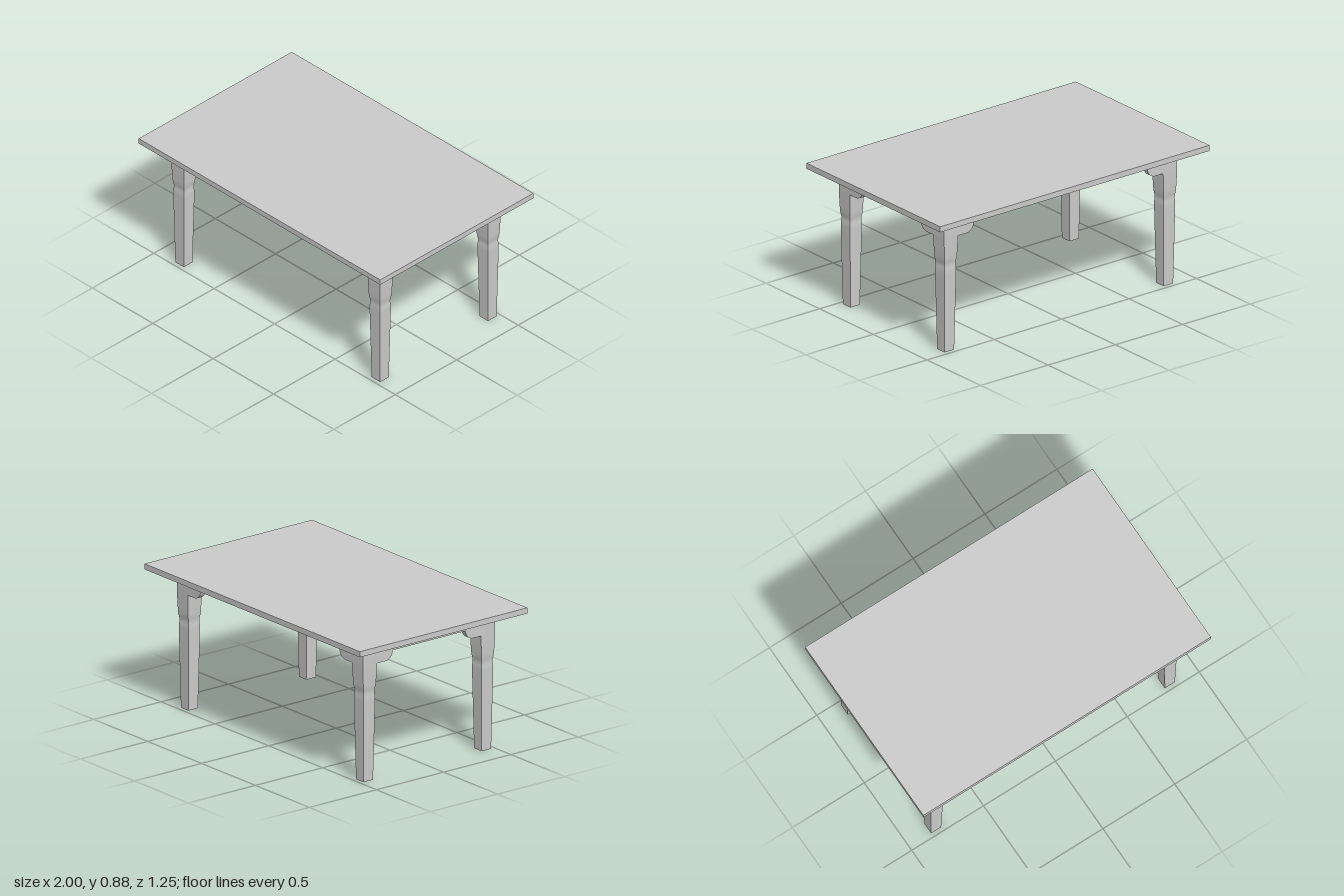
import * as THREE from 'three';

const TOP_Y = 0.84, HEIGHT = 0.875;
const LEG_X = 0.813, LEG_Z = 0.439, LEG_HALF = 0.052;
const APRON_Y = 0.772, BRACKET_Y = 0.716, APRON_DEPTH = 0.035;

// Half width of the square leg at each height: [y, half]
const LEG_PROFILE = [
  [0, 0.035], [0.25, 0.0395], [0.48, 0.0435], [0.505, 0.0437], [0.52, 0.0427], [0.535, 0.041],
  [0.55, 0.041], [0.565, 0.0435], [0.58, 0.046], [0.6, 0.0475], [0.65, 0.0495], [0.71, 0.0515],
  [0.74, LEG_HALF], [TOP_Y, LEG_HALF],
];

// Square leg: a box whose rings follow the profile
function legGeometry() {
  const n = LEG_PROFILE.length - 1;
  const geo = new THREE.BoxGeometry(2, n, 2, 1, n, 1);
  const pos = geo.attributes.position;
  for (let i = 0; i < pos.count; i++) {
    const [y, half] = LEG_PROFILE[Math.round(pos.getY(i) + n / 2)];
    pos.setXYZ(i, pos.getX(i) * half, y, pos.getZ(i) * half);
  }
  geo.computeVertexNormals();
  return geo;
}

// Rail with a rounded bracket at each end, running along x
function apronGeometry(half) {
  const r = APRON_Y - BRACKET_Y;
  const flat = half - 0.06; // where the bracket starts to curve up
  const s = new THREE.Shape();
  s.moveTo(-half, TOP_Y);
  s.lineTo(-half, BRACKET_Y);
  s.lineTo(-flat, BRACKET_Y);
  s.absarc(-flat, APRON_Y, r, -Math.PI / 2, 0, false);
  s.lineTo(flat - r, APRON_Y);
  s.absarc(flat, APRON_Y, r, Math.PI, Math.PI * 1.5, false);
  s.lineTo(half, BRACKET_Y);
  s.lineTo(half, TOP_Y);
  return new THREE.ExtrudeGeometry(s, { depth: APRON_DEPTH, bevelEnabled: false, curveSegments: 10 });
}

export function createModel() {
  const group = new THREE.Group();
  const material = new THREE.MeshStandardMaterial({ color: 0xcccccc });
  const add = (name, geo) => {
    const mesh = new THREE.Mesh(geo, material);
    mesh.name = name;
    group.add(mesh);
    return mesh;
  };

  // Tabletop
  add('tabletop', new THREE.BoxGeometry(2, HEIGHT - TOP_Y, 1.246)).position.y = (HEIGHT + TOP_Y) / 2;

  // Four legs
  const leg = legGeometry();
  for (const [side, x] of [['Left', 1], ['Right', -1]])
    for (const [end, z] of [['front', 1], ['back', -1]])
      add(`${end}${side}Leg`, leg).position.set(x * LEG_X, 0, z * LEG_Z);

  // Aprons, flush with the outer faces of the legs
  const long = apronGeometry(LEG_X - LEG_HALF);
  const short = apronGeometry(LEG_Z - LEG_HALF);
  const place = (name, geo, angle, distance) => {
    const mesh = add(name, geo);
    const d = distance + LEG_HALF - APRON_DEPTH;
    mesh.rotation.y = angle;
    mesh.position.set(Math.sin(angle) * d, 0, Math.cos(angle) * d);
  };
  place('frontApron', long, 0, LEG_Z);
  place('backApron', long, Math.PI, LEG_Z);
  place('leftApron', short, Math.PI / 2, LEG_X);
  place('rightApron', short, -Math.PI / 2, LEG_X);

  return group;
}
